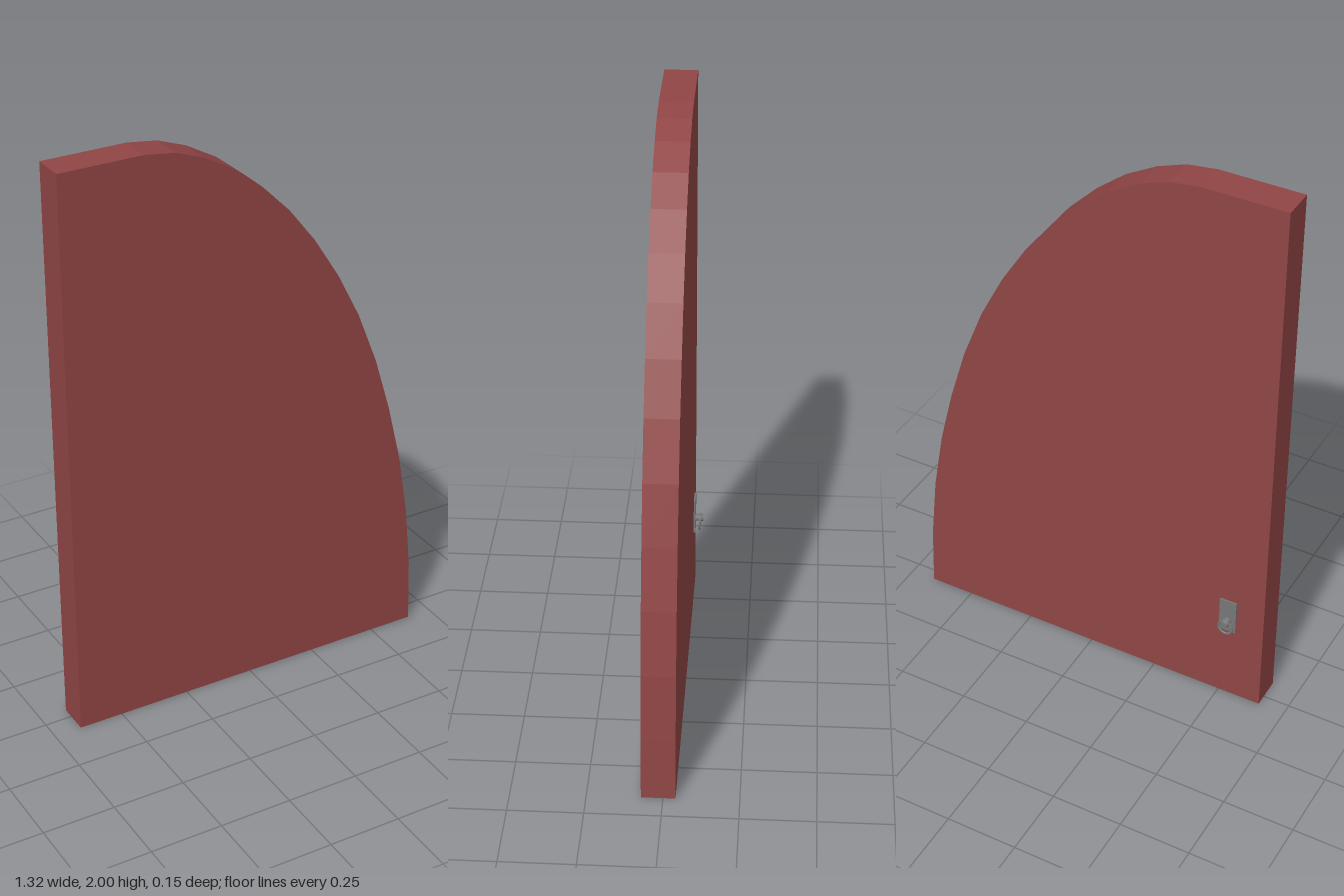
import * as THREE from 'three';

export function createModel() {
  const model = new THREE.Group();
  const red = new THREE.MeshStandardMaterial({ color: 0x904545, flatShading: true });
  const grey = new THREE.MeshStandardMaterial({ color: 0x777777, flatShading: true });

  const add = (name, geometry, material, x = 0, y = 0, z = 0, parent = model) => {
    const mesh = new THREE.Mesh(geometry, material);
    mesh.name = name;
    mesh.position.set(x, y, z);
    parent.add(mesh);
    return mesh;
  };

  // Door leaf: straight hinge side, faceted arch on the other
  const outline = [
    [-0.655, 0], [0.66, 0], [0.653, 0.228], [0.63, 0.463], [0.593, 0.684],
    [0.543, 0.89], [0.484, 1.086], [0.41, 1.275], [0.327, 1.438], [0.235, 1.585],
    [0.14, 1.708], [0.04, 1.81], [-0.06, 1.89], [-0.167, 1.95], [-0.265, 1.986],
    [-0.37, 2], [-0.66, 2],
  ].map(([x, y]) => new THREE.Vector2(x, y));
  const leaf = new THREE.ExtrudeGeometry(new THREE.Shape(outline), { depth: 0.113, bevelEnabled: false });
  add('doorLeaf', leaf, red, 0, 0, -0.041);

  // Ring pull on the back: plate, stem, knob and hanging ring
  const pull = new THREE.Group();
  pull.name = 'ringPull';
  pull.position.set(-0.525, 0, -0.041);
  model.add(pull);
  add('backPlate', new THREE.BoxGeometry(0.062, 0.132, 0.006), grey, 0, 0.356, -0.003, pull);
  const stem = add('stem', new THREE.CylinderGeometry(0.01, 0.014, 0.022, 10), grey, 0, 0.337, -0.014, pull);
  stem.rotation.x = -Math.PI / 2;
  const knob = add('knob', new THREE.CylinderGeometry(0.012, 0.017, 0.014, 10), grey, 0, 0.337, -0.027, pull);
  knob.rotation.x = -Math.PI / 2;
  add('ring', new THREE.TorusGeometry(0.026, 0.004, 6, 16), grey, 0, 0.317, -0.02, pull);

  return model;
}
